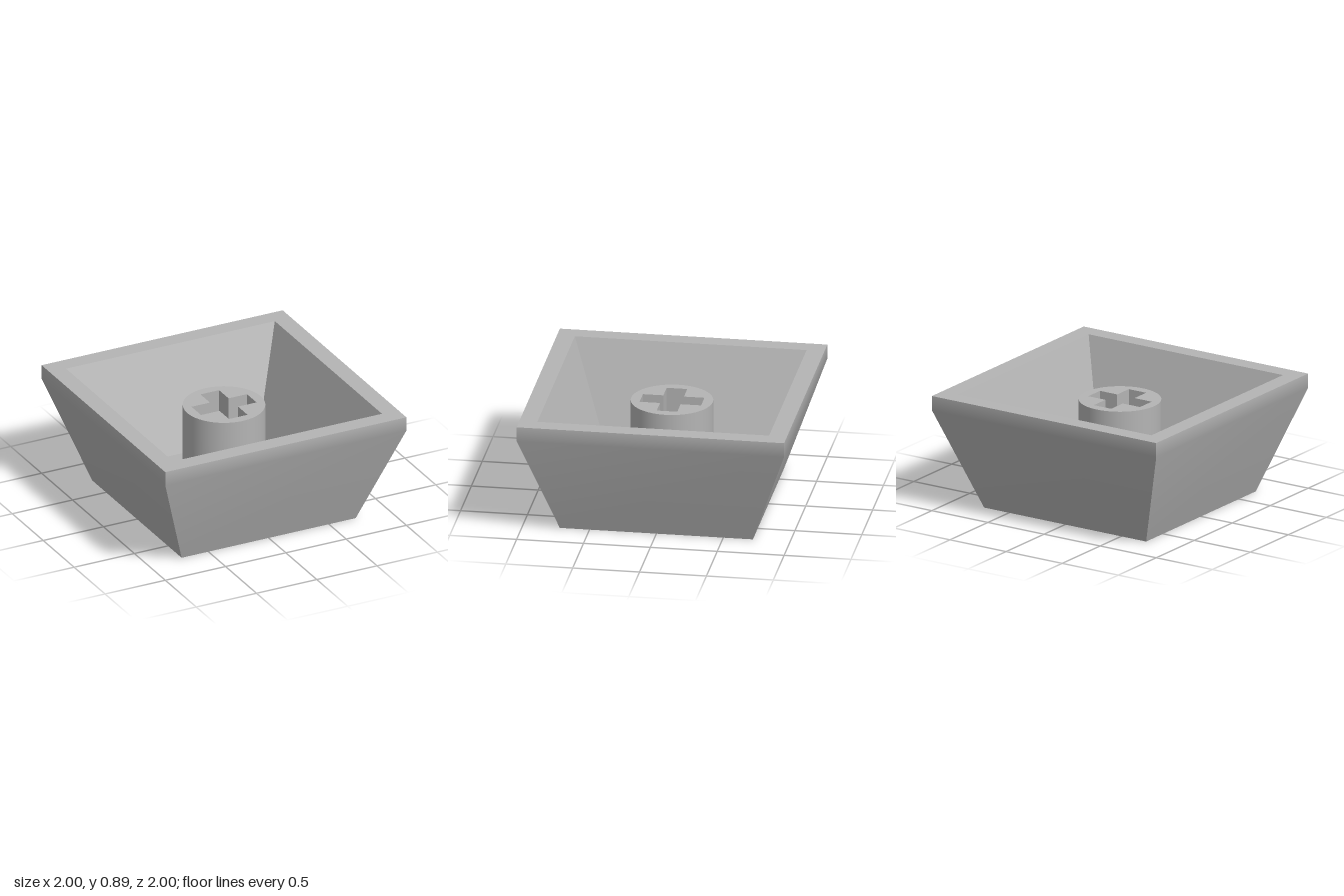
import * as THREE from 'three';
import { toCreasedNormals } from 'three/addons/utils/BufferGeometryUtils.js';

const grey = new THREE.MeshStandardMaterial({ color: 0xb4b4b4 });
grey.name = 'grey plastic';

const HEIGHT = 0.89, SHOULDER = 0.78, FLOOR = 0.13;

// One side of a square shell; profile points are [half width, y].
// Rows share vertices, so the bends are smooth and the corners stay sharp.
function sideStrip(profile) {
  const positions = [], index = [];
  profile.forEach(([h, y], i) => {
    positions.push(-h, y, h, h, y, h);
    if (i > 0) {
      const a = 2 * i - 2;
      index.push(a, a + 1, a + 3, a, a + 3, a + 2);
    }
  });
  const geometry = new THREE.BufferGeometry();
  geometry.setAttribute('position', new THREE.Float32BufferAttribute(positions, 3));
  geometry.setIndex(index);
  geometry.computeVertexNormals();
  return geometry;
}

function addMesh(parent, name, geometry) {
  const mesh = new THREE.Mesh(geometry, grey);
  mesh.name = name;
  parent.add(mesh);
  return mesh;
}

// Repeats a strip on all four sides
function addSides(parent, name, profile) {
  const geometry = sideStrip(profile);
  for (let i = 0; i < 4; i++) {
    addMesh(parent, name + (i + 1), geometry).rotation.y = i * Math.PI / 2;
  }
}

export function createModel() {
  const model = new THREE.Group();
  model.name = 'keycap';

  // Hollow tapered shell
  addSides(model, 'outerWall', [[0.722, 0], [1, SHOULDER], [1, HEIGHT]]);
  addSides(model, 'rim', [[1, HEIGHT], [0.866, HEIGHT]]);
  addSides(model, 'innerWall', [[0.866, HEIGHT], [0.589, FLOOR]]);

  // Flat underside and inner floor
  addMesh(model, 'base', new THREE.PlaneGeometry(1.444, 1.444).rotateX(Math.PI / 2));
  addMesh(model, 'innerFloor', new THREE.PlaneGeometry(1.178, 1.178).rotateX(-Math.PI / 2).translate(0, FLOOR, 0));

  // Round stem with a cross-shaped socket
  const stem = new THREE.Shape().absarc(0, 0, 0.305, 0, Math.PI * 2);
  const a = 0.23, b = 0.077;
  const cross = [
    [a, -b], [a, b], [b, b], [b, a], [-b, a], [-b, b],
    [-a, b], [-a, -b], [-b, -b], [-b, -a], [b, -a], [b, -b],
  ];
  stem.holes.push(new THREE.Path(cross.map(([x, y]) => new THREE.Vector2(x, y))));
  const stemGeometry = new THREE.ExtrudeGeometry(stem, {
    depth: SHOULDER - FLOOR, bevelEnabled: false, curveSegments: 64,
  });
  stemGeometry.rotateX(-Math.PI / 2).translate(0, FLOOR, 0);
  addMesh(model, 'stem', toCreasedNormals(stemGeometry, 0.5));

  return model;
}
